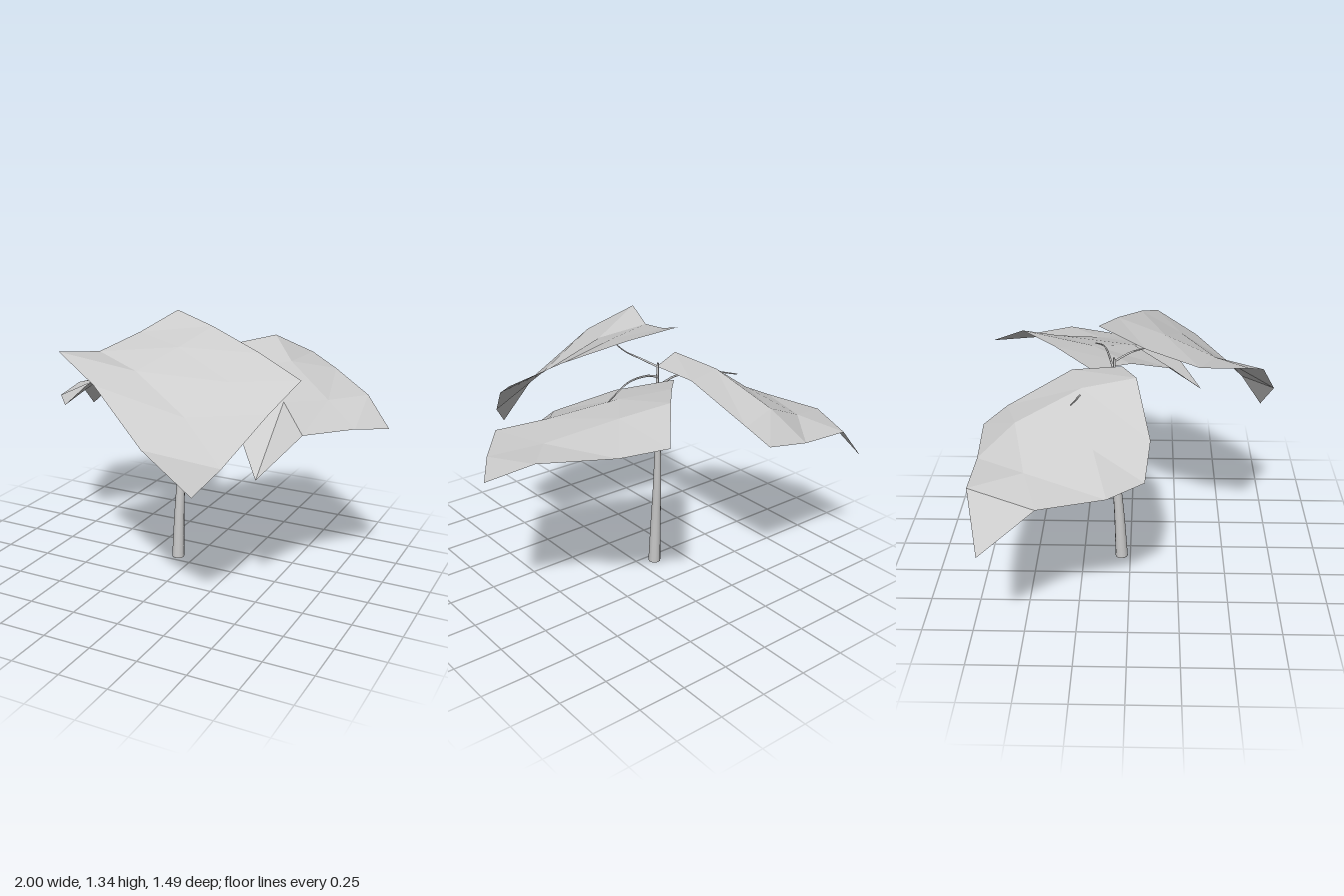
import * as THREE from 'three';

const grey = new THREE.MeshStandardMaterial({ color: 0xcccccc, side: THREE.DoubleSide });
grey.name = 'lightGrey';

const toVectors = (points) => points.map((p) => new THREE.Vector3(...p));

// Faceted leaf: a 4 x 4 grid of points, row by row
function leaf(name, rows) {
  const grid = new THREE.PlaneGeometry(1, 1, 3, 3);
  rows.flat().forEach((p, i) => grid.attributes.position.setXYZ(i, ...p));
  const geometry = grid.toNonIndexed();
  geometry.computeVertexNormals();
  const mesh = new THREE.Mesh(geometry, grey);
  mesh.name = name;
  return mesh;
}

// Round stalk along a curve, tapering from radius r0 to r1
function stalk(name, points, r0, r1, segments, sides) {
  const curve = new THREE.CatmullRomCurve3(toVectors(points));
  const geometry = new THREE.TubeGeometry(curve, segments, 1, sides);
  const position = geometry.attributes.position;
  const v = new THREE.Vector3();
  for (let i = 0; i < position.count; i++) {
    const t = Math.floor(i / (sides + 1)) / segments;
    const centre = curve.getPointAt(t);
    v.fromBufferAttribute(position, i).sub(centre);
    v.multiplyScalar(THREE.MathUtils.lerp(r0, r1, t)).add(centre);
    position.setXYZ(i, v.x, v.y, v.z);
  }
  const mesh = new THREE.Mesh(geometry, grey);
  mesh.name = name;
  return mesh;
}

export function createModel() {
  const model = new THREE.Group();
  model.name = 'leafyPlant';

  // Main stem with a closed foot
  model.add(stalk('stem', [
    [-0.09, 0.003, -0.047], [-0.088, 0.25, -0.058], [-0.083, 0.5, -0.074],
    [-0.077, 0.8, -0.081], [-0.075, 1.0, -0.077], [-0.075, 1.155, -0.08],
  ], 0.033, 0.005, 20, 12));
  const foot = new THREE.Mesh(new THREE.CircleGeometry(0.033, 12), grey);
  foot.name = 'stemFoot';
  foot.rotation.x = Math.PI / 2;
  foot.position.set(-0.09, 0.003, -0.047);
  model.add(foot);

  // Thin leaf stalks
  const stalks = {
    frontLeafStalk: [[-0.075, 1.135, -0.08], [-0.03, 1.165, 0.0], [0.0, 1.185, 0.09], [0.03, 1.225, 0.15]],
    leftLeafStalk: [[-0.075, 1.08, -0.08], [0.0, 1.11, -0.1], [0.15, 1.12, -0.135], [0.31, 1.075, -0.19]],
    rightLeafStalk: [[-0.075, 1.03, -0.08], [-0.15, 1.08, -0.12], [-0.27, 1.1, -0.18], [-0.44, 1.07, -0.27]],
  };
  for (const [name, points] of Object.entries(stalks)) {
    model.add(stalk(name, points, 0.006, 0.003, 10, 6));
  }

  // Broad drooping leaves
  model.add(leaf('frontLeaf', [
    [[-0.14, 1.345, -0.15], [0.1, 1.3, -0.065], [0.41, 1.22, 0.05], [0.655, 1.135, 0.135]],
    [[-0.235, 1.265, 0.08], [0.03, 1.235, 0.17], [0.35, 1.12, 0.26], [0.585, 1.02, 0.35]],
    [[-0.32, 1.21, 0.33], [-0.07, 1.16, 0.415], [0.24, 1.0, 0.51], [0.47, 0.82, 0.605]],
    [[-0.405, 1.247, 0.555], [-0.16, 1.137, 0.645], [0.14, 0.9, 0.742], [0.372, 0.7, 0.705]],
  ]));
  model.add(leaf('leftLeaf', [
    [[-0.09, 1.095, -0.19], [0.085, 1.145, -0.385], [0.24, 1.17, -0.565], [0.39, 1.053, -0.747]],
    [[0.13, 1.035, 0.0], [0.26, 1.08, -0.2], [0.4, 1.08, -0.395], [0.57, 1.01, -0.62]],
    [[0.36, 0.91, 0.215], [0.52, 0.98, 0.005], [0.68, 0.96, -0.19], [0.832, 0.963, -0.36]],
    [[0.543, 0.705, 0.387], [0.7, 0.895, 0.212], [0.88, 0.887, -0.015], [0.997, 0.855, -0.19]],
  ]));
  model.add(leaf('rightLeaf', [
    [[-0.998, 0.597, -0.655], [-0.77, 0.815, -0.718], [-0.505, 0.823, -0.71], [-0.25, 0.872, -0.715]],
    [[-0.928, 0.8, -0.395], [-0.69, 0.85, -0.47], [-0.425, 0.97, -0.535], [-0.2, 0.95, -0.6]],
    [[-0.85, 0.81, -0.09], [-0.61, 0.93, -0.16], [-0.335, 1.11, -0.225], [-0.12, 1.11, -0.285]],
    [[-0.71, 0.815, 0.078], [-0.555, 0.95, 0.102], [-0.28, 1.14, 0.033], [-0.1, 1.12, -0.04]],
  ]));

  return model;
}
